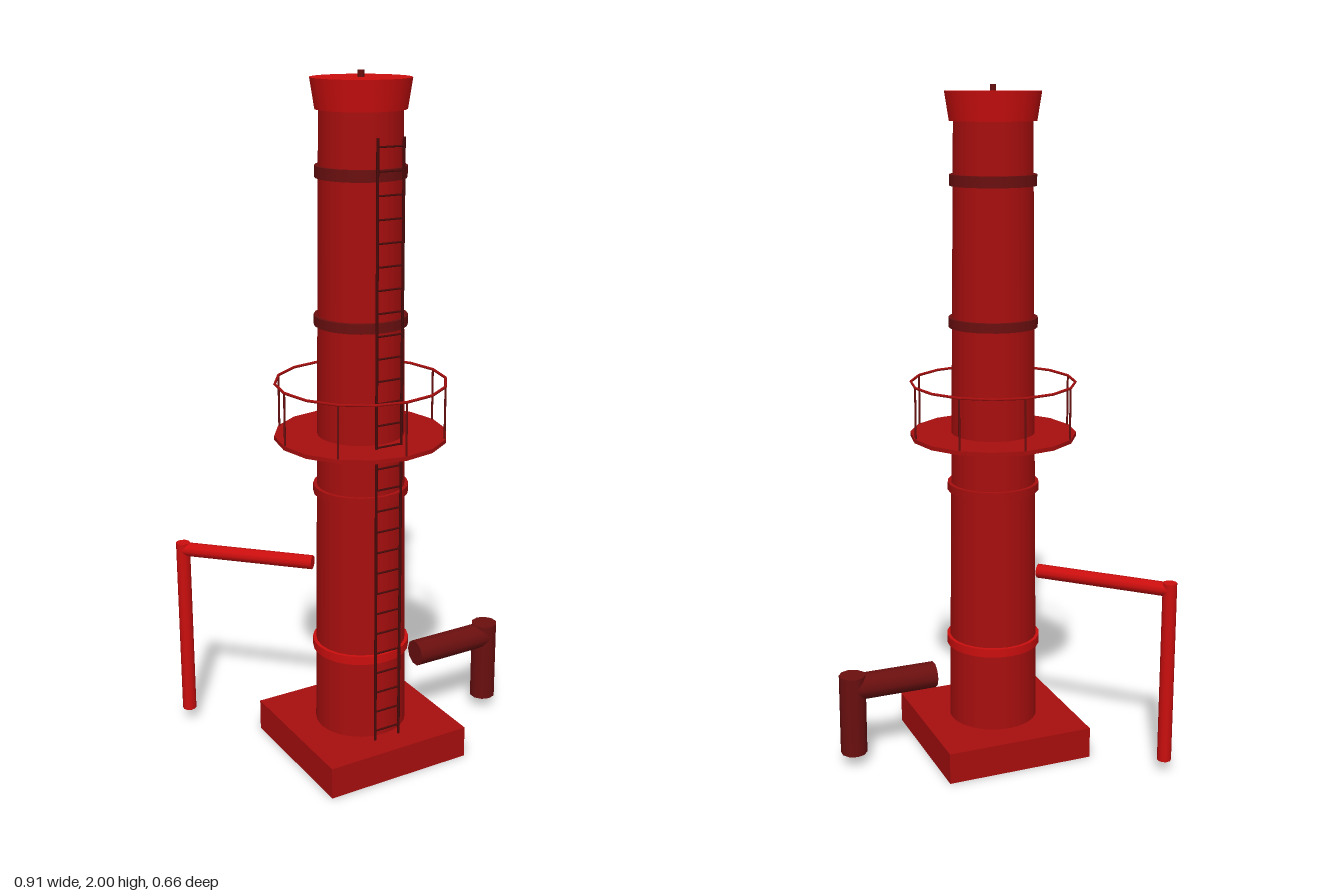
import * as THREE from 'three';

const mat = (name, color, side = THREE.FrontSide) => {
  const m = new THREE.MeshStandardMaterial({ color, side });
  m.name = name;
  return m;
};

export function createModel() {
  const red = mat('brick red', 0xa80e0e);
  const bright = mat('bright red', 0xcc0e0e);
  const dark = mat('dark red', 0x6b0f0f);
  const iron = mat('ladder dark red', 0x4a0909);

  const model = new THREE.Group();
  model.name = 'chimney';
  // everything is built around the stack axis, then moved into place
  const stack = new THREE.Group();
  stack.name = 'stack';
  stack.position.set(-0.04, 0, 0.08);
  model.add(stack);

  const add = (parent, name, geometry, material, x = 0, y = 0, z = 0) => {
    const mesh = new THREE.Mesh(geometry, material);
    mesh.name = name;
    mesh.position.set(x, y, z);
    parent.add(mesh);
    return mesh;
  };
  const drum = (parent, name, rTop, rBottom, y0, y1, sides, material, x = 0, z = 0) =>
    add(parent, name, new THREE.CylinderGeometry(rTop, rBottom, y1 - y0, sides), material, x, (y0 + y1) / 2, z);

  // plinth, tapered shaft, flared cap and tip
  add(stack, 'base', new THREE.BoxGeometry(0.455, 0.095, 0.455), red, 0, 0.0525 - 0.005, 0).scale.y = 1;
  drum(stack, 'shaft', 0.114, 0.135, 0.09, 1.91, 24, red);
  drum(stack, 'cap', 0.138, 0.125, 1.9, 1.982, 20, bright);
  drum(stack, 'tip', 0.009, 0.009, 1.98, 2.0, 8, dark);

  // bands round the shaft
  [
    [0.347, 0.142, 0.026, bright],
    [0.835, 0.137, 0.024, red],
    [1.33, 0.131, 0.028, dark],
    [1.737, 0.126, 0.032, dark],
  ].forEach(([y, r, h, m]) => drum(stack, 'band', r, r, y - h / 2, y + h / 2, 24, m));

  // walkway with a railing
  const walkway = new THREE.Group();
  walkway.name = 'walkway';
  stack.add(walkway);
  drum(walkway, 'walkwayFloor', 0.247, 0.247, 0.986, 0.998, 16, red);
  const rail = add(walkway, 'handrail', new THREE.TorusGeometry(0.243, 0.004, 6, 16), red, 0, 1.15, 0);
  rail.rotation.x = Math.PI / 2;
  for (let i = 0; i < 8; i++) {
    const a = (i * Math.PI) / 4;
    drum(walkway, 'railPost', 0.003, 0.003, 0.99, 1.15, 6, dark, 0.243 * Math.sin(a), 0.243 * Math.cos(a));
  }

  // ladder on the front
  const ladder = new THREE.Group();
  ladder.name = 'ladder';
  ladder.position.z = 0.153;
  stack.add(ladder);
  for (const x of [-0.04, 0.04]) drum(ladder, 'ladderRail', 0.004, 0.004, 0.095, 1.838, 6, iron, x);
  for (let i = 0; i < 28; i++) {
    const rung = add(ladder, 'rung', new THREE.CylinderGeometry(0.0028, 0.0028, 0.08, 6), iron, 0, 0.125 + i * 0.0626, 0);
    rung.rotation.z = Math.PI / 2;
  }

  // side pipes: a horizontal run and a drop, turned about the axis
  const pipe = (name, angle, start, end, r, y, material) => {
    const g = new THREE.Group();
    g.name = name;
    g.rotation.y = angle;
    stack.add(g);
    const run = add(g, name + 'Run', new THREE.CylinderGeometry(r, r, end - start, 10), material, (start + end) / 2, y, 0);
    run.rotation.z = Math.PI / 2;
    drum(g, name + 'Drop', r, r, 0.04, y + r, 10, material, end);
  };
  pipe('thickPipe', 0, 0.195, 0.454, 0.04, 0.25, dark);
  pipe('thinPipe', (Math.PI * 3) / 4, 0.147, 0.557, 0.021, 0.58, bright);

  return model;
}
